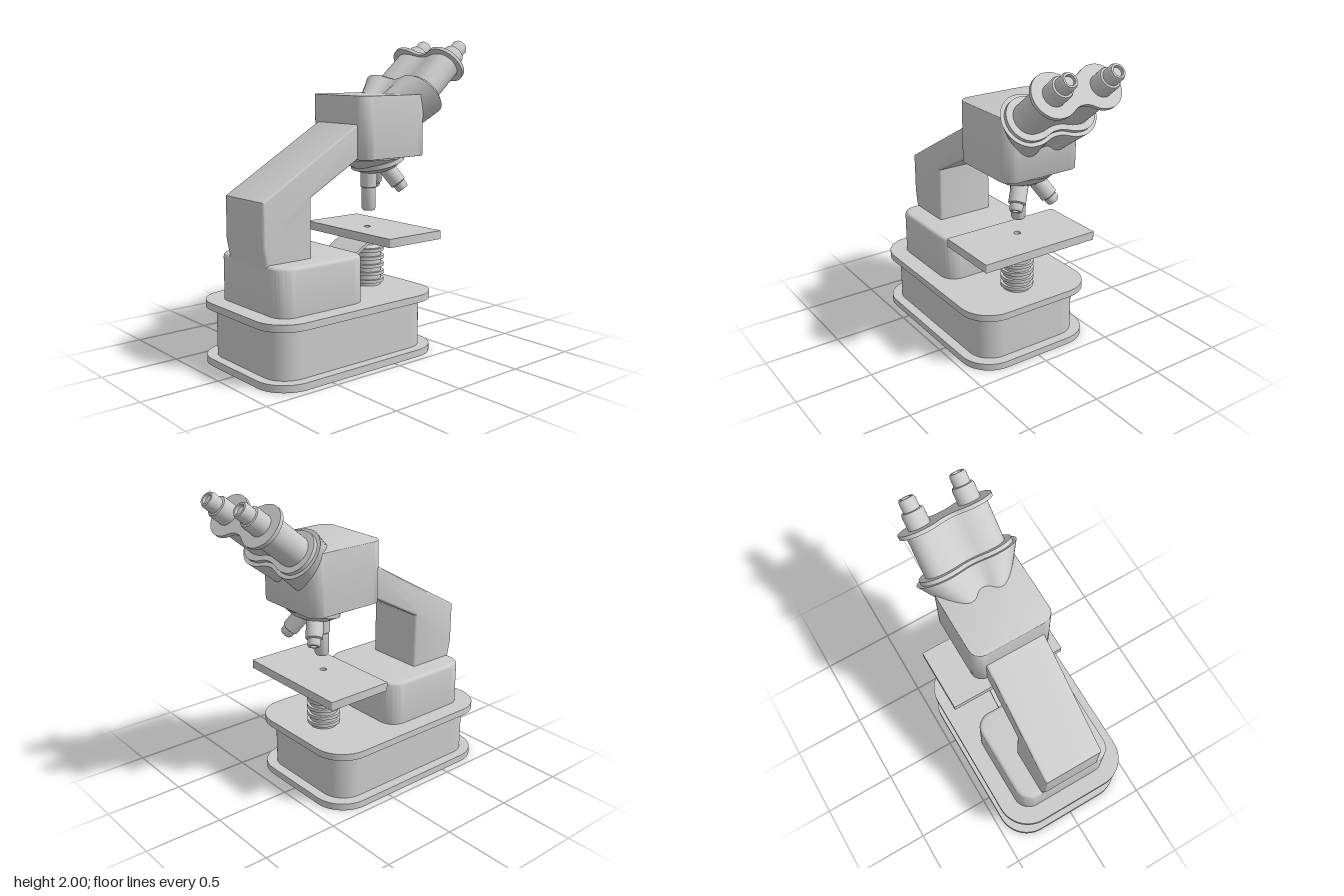
import * as THREE from 'three';
import { toCreasedNormals } from 'three/addons/utils/BufferGeometryUtils.js';

const material = new THREE.MeshStandardMaterial({ color: 0xcccccc, side: THREE.DoubleSide });

function part(name, geometry, parent, crease = 0.6) {
  const mesh = new THREE.Mesh(toCreasedNormals(geometry, crease), material);
  mesh.name = name;
  parent.add(mesh);
  return mesh;
}

const lathe = (pts, segments = 32) =>
  new THREE.LatheGeometry(pts.map(([r, y]) => new THREE.Vector2(r, y)), segments);

function roundedRect(x0, x1, h, r) {
  const s = new THREE.Shape();
  s.absarc(x1 - r, h - r, r, 0, Math.PI / 2);
  s.absarc(x0 + r, h - r, r, Math.PI / 2, Math.PI);
  s.absarc(x0 + r, r - h, r, Math.PI, Math.PI * 1.5);
  s.absarc(x1 - r, r - h, r, Math.PI * 1.5, Math.PI * 2);
  s.closePath();
  return s;
}

// Extrudes a plan outline upward from y0 to y1, with optional rounded rims
function slab(shape, y0, y1, bevel = 0) {
  const g = new THREE.ExtrudeGeometry(shape, {
    depth: y1 - y0 - 2 * bevel, curveSegments: 8, bevelEnabled: bevel > 0,
    bevelSize: bevel, bevelThickness: bevel, bevelOffset: -bevel, bevelSegments: 4,
  });
  return g.translate(0, 0, bevel).rotateX(-Math.PI / 2).translate(0, y0, 0);
}

// Two round lobes at +-c joined by a waist of half-height w
function twinLobe(c, r, w) {
  const s = new THREE.Shape(), k = c * 0.45;
  s.absarc(c, 0, r, -Math.PI / 2, Math.PI / 2);
  s.bezierCurveTo(k, r, k, w, 0, w);
  s.bezierCurveTo(-k, w, -k, r, -c, r);
  s.absarc(-c, 0, r, Math.PI / 2, Math.PI * 1.5);
  s.bezierCurveTo(-k, -r, -k, -w, 0, -w);
  s.bezierCurveTo(k, -w, k, -r, c, -r);
  return s;
}

const prism = (shape, s0, s1) => new THREE.ExtrudeGeometry(shape,
  { depth: s1 - s0, bevelEnabled: false, curveSegments: 14 }).translate(0, 0, s0);

function addBase(model) {
  const rim = roundedRect(-0.89, 0.42, 0.455, 0.21);
  part('basePlate', slab(rim, 0, 0.045), model);
  part('baseBody', slab(roundedRect(-0.83, 0.355, 0.39, 0.16), 0.04, 0.36), model);
  part('baseTop', slab(rim, 0.355, 0.4), model);
  part('pedestal', slab(roundedRect(-0.78, -0.125, 0.34, 0.11), 0.36, 0.695, 0.025), model);
}

function addArm(model) {
  const side = new THREE.Shape([
    [-0.78, 0.66], [-0.45, 0.66], [-0.45, 1.06], [0, 1.31], [0, 1.53],
    [-0.8, 1.065], [-0.8, 0.8], [-0.78, 0.7],
  ].map(([x, y]) => new THREE.Vector2(x, y)));
  const b = 0.015;
  part('arm', new THREE.ExtrudeGeometry(side, {
    depth: 0.4 - 2 * b, bevelSize: b, bevelThickness: b, bevelOffset: -b, bevelSegments: 3,
  }).translate(0, 0, b - 0.2), model);
  part('head', slab(roundedRect(-0.09, 0.447, 0.27, 0.075), 1.26, 1.655, 0.004), model);
}

function addStage(model) {
  const plate = roundedRect(-0.01, 0.435, 0.415, 0.005);
  plate.holes.push(new THREE.Path().absarc(0.17, 0, 0.022, 0, Math.PI * 2, true));
  part('stage', slab(plate, 0.73, 0.785), model);

  // Thin sloping support under the stage
  const bracket = part('stageBracket', new THREE.BoxGeometry(0.3, 0.02, 0.28), model);
  bracket.position.set(-0.02, 0.665, 0);
  bracket.rotation.z = 0.52;

  // Ribbed condenser column
  const pts = [[0.09, 0.38]];
  for (let i = 0; i < 5; i++) {
    const y = 0.42 + i * 0.052;
    pts.push([0.09, y], [0.108, y], [0.108, y + 0.022], [0.09, y + 0.022]);
  }
  pts.push([0.09, 0.652], [0.065, 0.672], [0.03, 0.672], [0.02, 0.682], [0, 0.685]);
  part('condenser', lathe(pts), model).position.x = 0.17;
}

function addNosepiece(model) {
  const mount = part('nosepieceMount', lathe([
    [0, 1.165], [0.09, 1.165], [0.15, 1.19], [0.2, 1.22], [0.23, 1.24], [0.23, 1.265],
  ]), model);
  mount.position.x = 0.195;
  mount.scale.z = 0.78;

  // Tilted revolving turret
  const turret = part('turret', lathe([
    [0, -0.06], [0.06, -0.058], [0.12, -0.04], [0.165, -0.012],
    [0.178, -0.005], [0.178, 0.025], [0, 0.025],
  ]), model);
  turret.position.set(0.255, 1.207, 0);
  turret.rotation.z = 0.25;

  const main = part('mainObjective', lathe([
    [0, 0.012], [0.025, 0.012], [0.025, 0], [0.038, 0], [0.046, 0.015],
    [0.046, 0.15], [0.053, 0.156], [0.053, 0.28],
  ]), model);
  main.position.set(0.18, 0.895, 0);

  for (const s of [-1, 1]) {
    const lens = part(s > 0 ? 'frontObjective' : 'backObjective', lathe([
      [0, 0.012], [0.022, 0.012], [0.022, 0], [0.035, 0], [0.042, 0.012],
      [0.042, 0.045], [0.054, 0.052], [0.054, 0.2],
    ]), model);
    lens.position.set(0.355, 1.035, s * 0.145);
    lens.quaternion.setFromUnitVectors(new THREE.Vector3(0, 1, 0),
      new THREE.Vector3(-0.42, 0.78, -s * 0.47).normalize());
  }
}

// Built along local z, then tilted; the origin is the eyepiece flange
function addBinocular(model) {
  const group = new THREE.Group();
  group.name = 'binocularHead';
  const a = 0.698, u = new THREE.Vector3(Math.cos(a), Math.sin(a), 0);
  const v = new THREE.Vector3(-u.y, u.x, 0);
  group.quaternion.setFromRotationMatrix(
    new THREE.Matrix4().makeBasis(new THREE.Vector3(0, 0, -1), v, u));
  group.position.set(0.715, 1.845, 0);
  model.add(group);

  // Collar narrows sideways toward the head
  const collar = prism(twinLobe(0.168, 0.163, 0.13), -0.52, -0.305);
  const p = collar.attributes.position;
  for (let i = 0; i < p.count; i++) {
    if (p.getZ(i) < -0.4) {
      p.setX(i, p.getX(i) * 0.56);
    }
  }
  part('collar', collar, group);
  part('collarLip', prism(twinLobe(0.168, 0.138, 0.105), -0.31, -0.28), group);
  part('binocularBody', prism(twinLobe(0.165, 0.098, 0.072), -0.3, 0), group);
  part('eyepieceFlange', prism(twinLobe(0.165, 0.138, 0.088), -0.012, 0.012), group);

  for (const s of [-1, 1]) {
    const eyepiece = part(s > 0 ? 'backEyepiece' : 'frontEyepiece', lathe([
      [0.07, 0], [0.07, 0.1], [0.064, 0.112], [0.052, 0.115], [0.052, 0.175],
      [0.044, 0.19], [0.032, 0.19], [0.03, 0.172], [0, 0.172],
    ]).rotateX(Math.PI / 2), group);
    eyepiece.position.x = s * 0.165;
  }
}

export function createModel() {
  const model = new THREE.Group();
  model.name = 'microscope';
  addBase(model);
  addArm(model);
  addStage(model);
  addNosepiece(model);
  addBinocular(model);
  return model;
}
